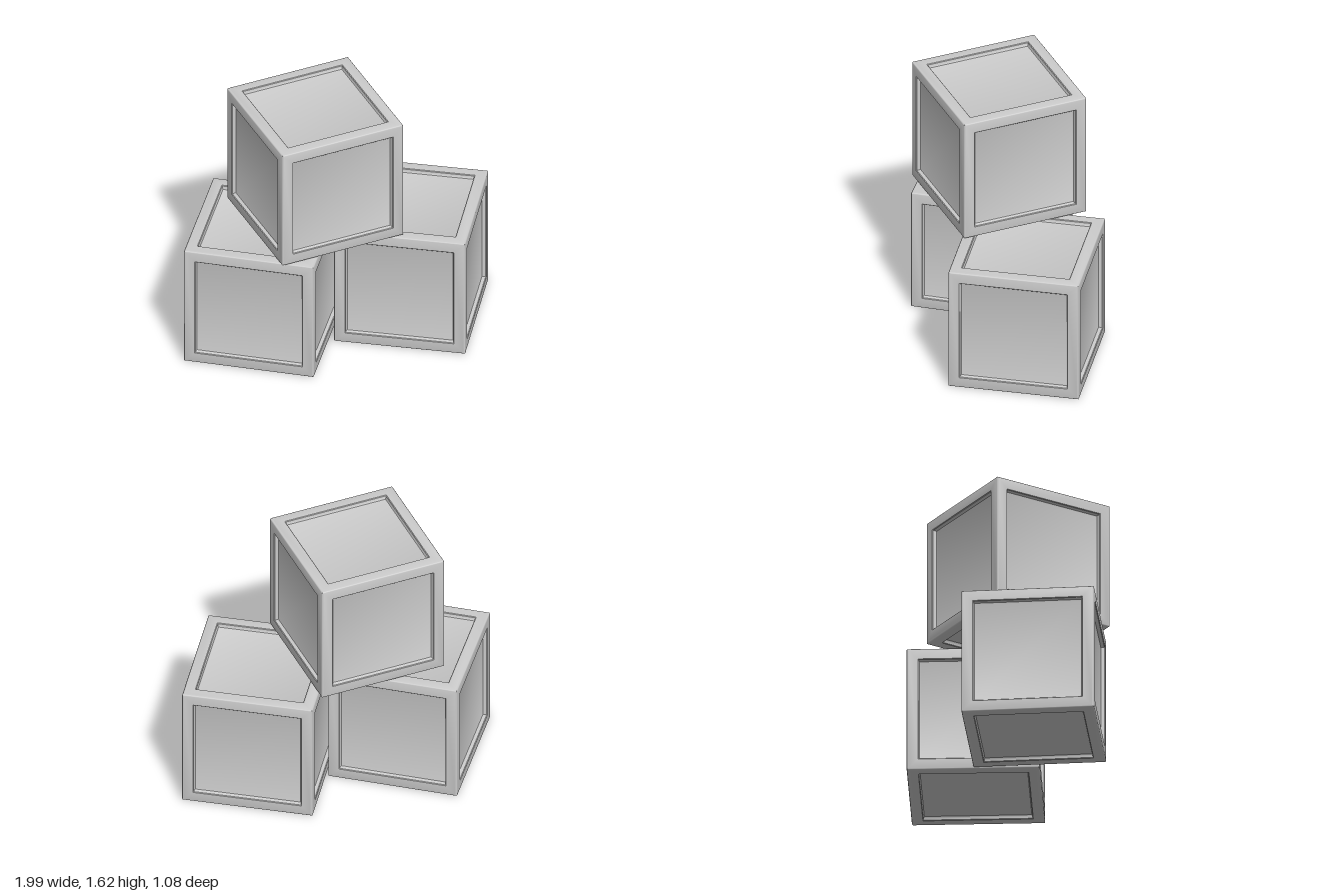
import * as THREE from 'three';
import { mergeGeometries, toCreasedNormals } from 'three/addons/utils/BufferGeometryUtils.js';

const SIZE = 0.805, HALF = SIZE / 2;
const EDGE = 0.012;   // rounding of the outer edges

// One side of a crate: concentric square rings [inset, depth], facing +z
function crateSide() {
  const rings = [];
  for (const deg of [45, 22.5, 0]) {
    const a = THREE.MathUtils.degToRad(deg);
    rings.push([EDGE * (1 - Math.sin(a)), EDGE * (1 - Math.cos(a))]);
  }
  // frame rim, recess wall and recessed panel
  rings.push([0.069, 0], [0.073, 0.004], [0.074, 0.018], [0.078, 0.025], [0.085, 0.028]);

  const signs = [[-1, -1], [1, -1], [1, 1], [-1, 1]];
  const positions = [], indices = [];
  for (const [inset, depth] of rings)
    for (const [sx, sy] of signs)
      positions.push(sx * (HALF - inset), sy * (HALF - inset), HALF - depth);
  for (let r = 0; r < rings.length - 1; r++)
    for (let i = 0; i < 4; i++) {
      const a = r * 4 + i, b = r * 4 + (i + 1) % 4;
      indices.push(a, b, b + 4, a, b + 4, a + 4);
    }
  const c = (rings.length - 1) * 4;
  indices.push(c, c + 1, c + 2, c, c + 2, c + 3);

  const g = new THREE.BufferGeometry();
  g.setAttribute('position', new THREE.Float32BufferAttribute(positions, 3));
  g.setIndex(indices);
  return g;
}

// Six identical framed sides make a crate
function crateGeometry() {
  const sides = [];
  for (let i = 0; i < 4; i++) sides.push(crateSide().rotateY(i * Math.PI / 2));
  for (const s of [-1, 1]) sides.push(crateSide().rotateX(s * Math.PI / 2));
  return toCreasedNormals(mergeGeometries(sides), THREE.MathUtils.degToRad(35));
}

export function createModel() {
  const group = new THREE.Group();
  group.name = 'crateStack';
  const material = new THREE.MeshStandardMaterial({ color: 0xcccccc });
  const geometry = crateGeometry();

  // name, x, base height, z, turn in degrees
  const crates = [
    ['rightCrate', -0.455, 0, -0.003, -27.5],
    ['leftCrate', 0.465, 0, -0.003, -24.6],
    ['topCrate', -0.14, 0.815, 0.025, 10],
  ];
  for (const [name, x, base, z, turn] of crates) {
    const crate = new THREE.Mesh(geometry, material);
    crate.name = name;
    crate.position.set(x, base + HALF, z);
    crate.rotation.y = THREE.MathUtils.degToRad(turn);
    group.add(crate);
  }
  return group;
}
